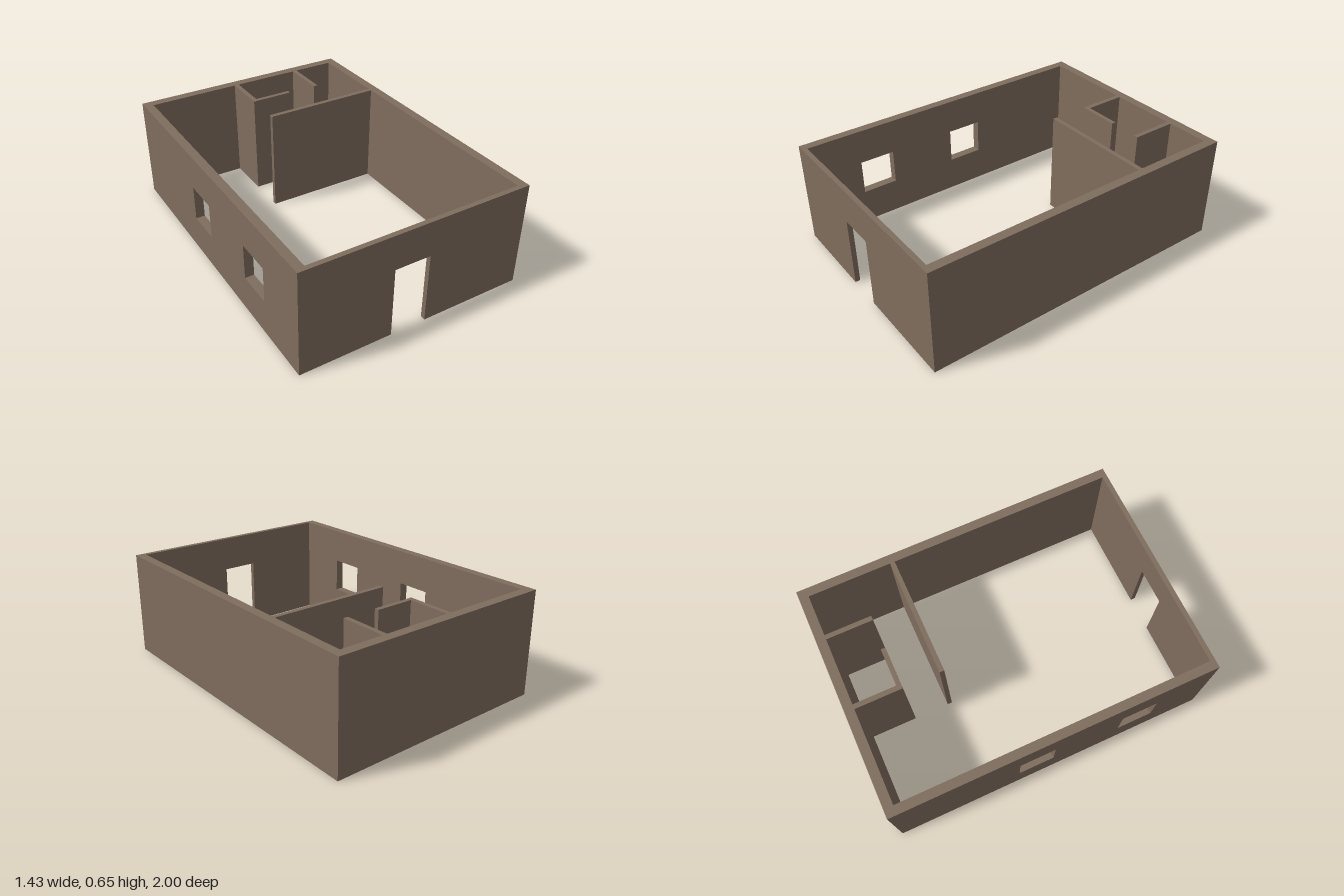
import * as THREE from 'three';

const HEIGHT = 0.65, HALF_W = 0.713, INNER_W = 0.658;
const BACK = -0.943, FRONT = 0.97; // inner faces of the end walls
const OPENING_TOP = 0.434, SILL = 0.217;

export function createModel() {
  const model = new THREE.Group();
  model.name = 'house';
  const plaster = new THREE.MeshStandardMaterial({ color: 0x7f6d5d });
  plaster.name = 'brown plaster';

  const add = (name, geometry) => {
    const mesh = new THREE.Mesh(geometry, plaster);
    mesh.name = name;
    model.add(mesh);
    return mesh;
  };

  // Full-height wall given by its footprint
  const wall = (name, x0, x1, z0, z1) => {
    const mesh = add(name, new THREE.BoxGeometry(x1 - x0, HEIGHT, z1 - z0));
    mesh.position.set((x0 + x1) / 2, HEIGHT / 2, (z0 + z1) / 2);
  };

  const points = (list) => list.map(([x, y]) => new THREE.Vector2(x, y));
  const extrude = (shape, depth) => new THREE.ExtrudeGeometry(shape, { depth, bevelEnabled: false });

  // Front wall with the doorway cut out
  const frontShape = new THREE.Shape(points([
    [-HALF_W, 0], [-0.153, 0], [-0.153, OPENING_TOP], [0.069, OPENING_TOP],
    [0.069, 0], [HALF_W, 0], [HALF_W, HEIGHT], [-HALF_W, HEIGHT],
  ]));
  add('frontWall', extrude(frontShape, 1 - FRONT)).position.z = FRONT;

  // Side wall with two windows, drawn along z and turned into place
  const sideShape = new THREE.Shape(points([[BACK, 0], [FRONT, 0], [FRONT, HEIGHT], [BACK, HEIGHT]]));
  for (const z of [-0.227, 0.425]) {
    sideShape.holes.push(new THREE.Path(points([
      [z, SILL], [z, OPENING_TOP], [z + 0.222, OPENING_TOP], [z + 0.222, SILL],
    ])));
  }
  const windowWall = extrude(sideShape, HALF_W - INNER_W).rotateY(-Math.PI / 2);
  add('windowWall', windowWall).position.x = -INNER_W;

  // Plain outer walls
  wall('solidSideWall', INNER_W, HALF_W, BACK, FRONT);
  wall('backWall', -HALF_W, HALF_W, -1, BACK);

  // Inner partitions
  wall('longPartition', -0.085, INNER_W, -0.436, -0.407);
  wall('closetSidePartition', -0.085, -0.055, BACK, -0.684);
  wall('closetFrontPartition', -0.085, 0.18, -0.684, -0.656);
  wall('shortPartition', 0.365, 0.394, BACK, -0.658);

  return model;
}
